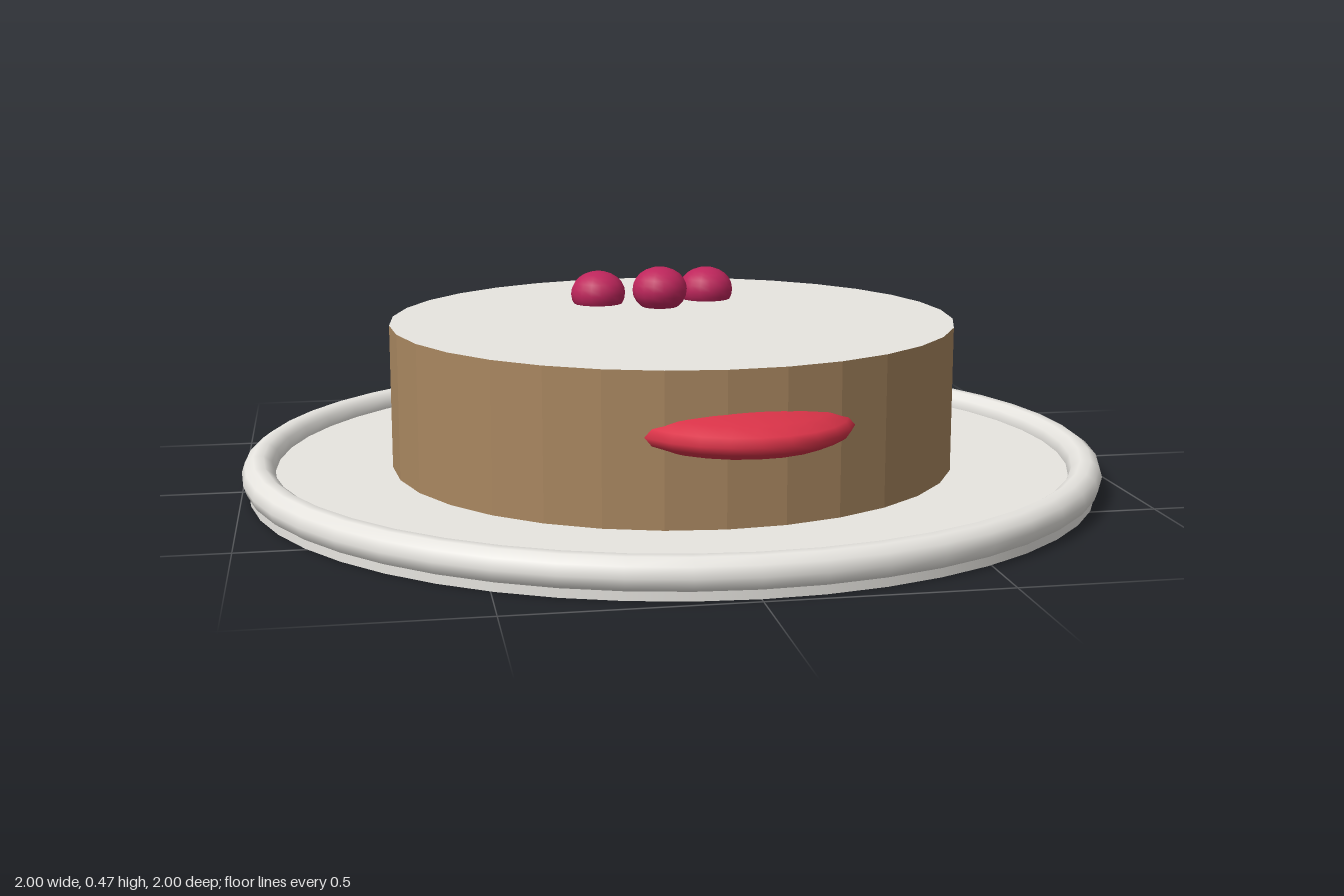
import * as THREE from 'three';

const material = (name, color, flatShading = false) => {
  const m = new THREE.MeshStandardMaterial({ color, flatShading });
  m.name = name;
  return m;
};

export function createModel() {
  const group = new THREE.Group();
  const cream = material('cream', 0xebe9e4);
  const sponge = material('sponge brown', 0xa98760, true);
  const berryRed = material('berry', 0xbe265c);
  const sliceRed = material('slice red', 0xd93348);

  const add = (name, geometry, mat, x, y, z) => {
    const mesh = new THREE.Mesh(geometry, mat);
    mesh.name = name;
    mesh.position.set(x, y, z);
    group.add(mesh);
    return mesh;
  };

  // Plate disc with a rounded rim
  add('plate', new THREE.CylinderGeometry(0.985, 0.985, 0.045, 48), cream, 0, 0.0225, 0);
  const rim = new THREE.TorusGeometry(0.962, 0.038, 10, 48);
  rim.rotateX(-Math.PI / 2);
  add('plateRim', rim, cream, 0, 0.047, 0);

  // Cake: brown side, cream top
  add('cake', new THREE.CylinderGeometry(0.657, 0.657, 0.335, 32),
    [sponge, cream, sponge], 0, 0.2105, 0);

  // Three slightly squashed berries
  const berry = new THREE.SphereGeometry(0.067, 16, 12);
  berry.scale(1, 0.82, 1);
  [[-0.14, 0.402, -0.25], [0, 0.42, -0.17], [0.135, 0.402, -0.28]]
    .forEach(([x, y, z], i) => add('berry' + (i + 1), berry, berryRed, x, y, z));

  // Flattened fruit slice pressed into the front of the cake
  const slice = new THREE.SphereGeometry(0.246, 24, 10);
  slice.scale(1, 0.235, 1);
  add('fruitSlice', slice, sliceRed, 0.05, 0.239, 0.52);

  return group;
}
